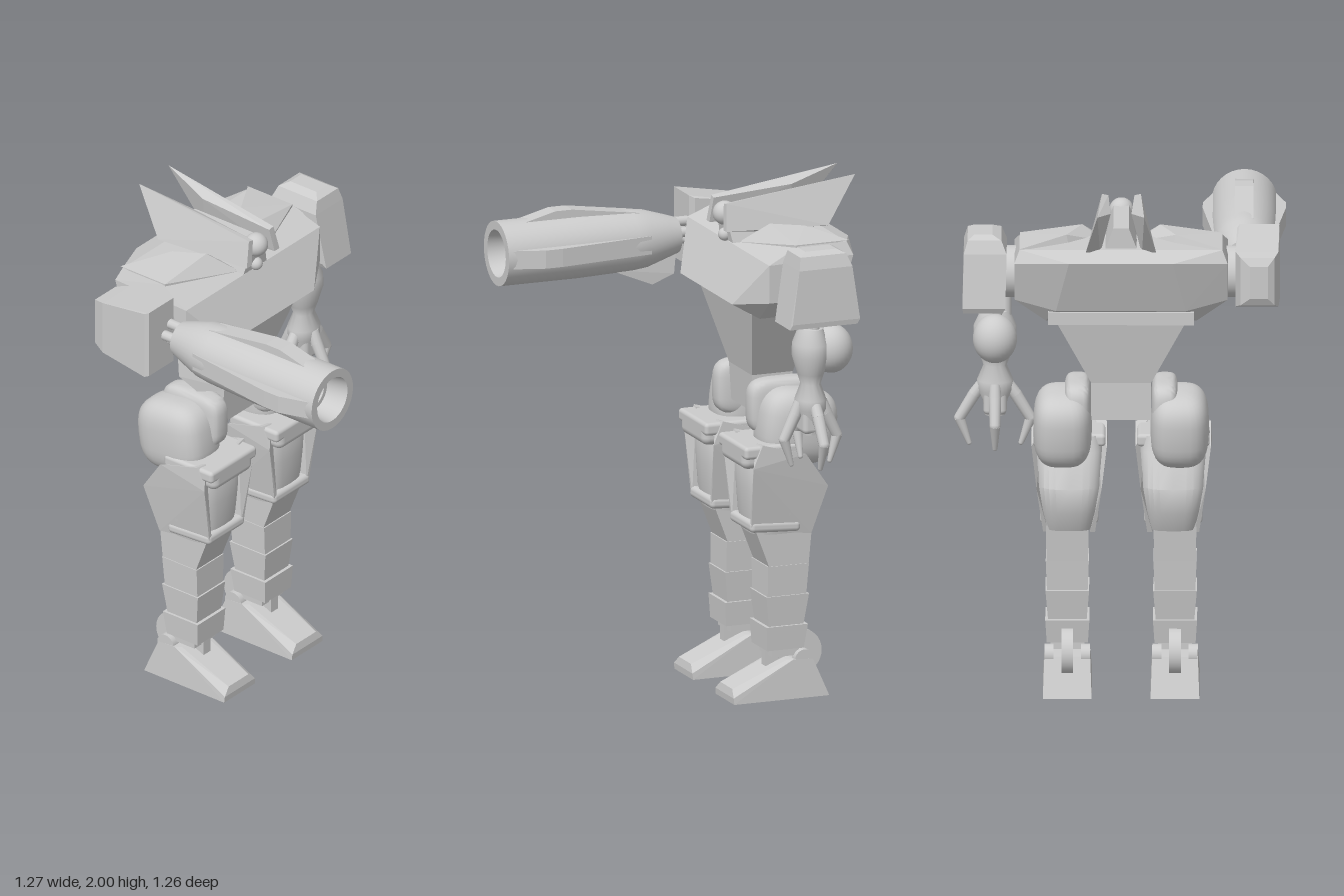
import * as THREE from 'three';
import { toCreasedNormals } from 'three/addons/utils/BufferGeometryUtils.js';
import { RoundedBoxGeometry } from 'three/addons/geometries/RoundedBoxGeometry.js';
import { ConvexGeometry } from 'three/addons/geometries/ConvexGeometry.js';

const grey = new THREE.MeshStandardMaterial({ color: 0xcccccc, side: THREE.DoubleSide });
const V = (x, y, z) => new THREE.Vector3(x, y, z);

function add(parent, name, geo, x = 0, y = 0, z = 0) {
  const m = new THREE.Mesh(geo, grey);
  m.name = name;
  m.position.set(x, y, z);
  parent.add(m);
  return m;
}
function group(parent, name, x = 0, y = 0, z = 0) {
  const g = new THREE.Group();
  g.name = name;
  g.position.set(x, y, z);
  parent.add(g);
  return g;
}
// Faceted solid around points; s flips x
const hull = (pts, s = 1) => new ConvexGeometry(pts.map(p => V(p[0] * s, p[1], p[2])));
// Faceted solid symmetric about x = 0
const symHull = pts => new ConvexGeometry(pts.flatMap(p => [V(p[0], p[1], p[2]), V(-p[0], p[1], p[2])]));
// Faceted solid from level slices [y, x0, x1, z0, z1]
const slices = (rows, s = 1) => hull(rows.flatMap(([y, a, b, c, d]) =>
  [[a, y, c], [b, y, c], [a, y, d], [b, y, d]]), s);
const square = (v, e) => Math.sign(v) * Math.pow(Math.abs(v), e);

// Rounded block: sphere pushed toward a box
function blob(w, h, d, e = 0.65) {
  const g = new THREE.SphereGeometry(1, 28, 20), p = g.attributes.position;
  for (let i = 0; i < p.count; i++)
    p.setXYZ(i, square(p.getX(i), e) * w / 2, square(p.getY(i), e) * h / 2, square(p.getZ(i), e) * d / 2);
  return toCreasedNormals(g, 0.9);
}
// Squared tube through rings [y, halfWidth, zBack, zFront], top to bottom
function loft(rings, e = 0.6) {
  const g = new THREE.CylinderGeometry(1, 1, 1, 28, rings.length - 1), p = g.attributes.position;
  for (let i = 0; i < p.count; i++) {
    const [y, hx, zb, zf] = rings[Math.round((0.5 - p.getY(i)) * (rings.length - 1))];
    p.setXYZ(i, square(p.getX(i), e) * hx, y, (zb + zf) / 2 + square(p.getZ(i), e) * (zf - zb) / 2);
  }
  return toCreasedNormals(g, 0.7);
}
const lathe = (pts, n = 32, crease = 0.5) =>
  toCreasedNormals(new THREE.LatheGeometry(pts.map(p => new THREE.Vector2(p[0], p[1])), n), crease);

// Tapered round bar from a to b
function rod(parent, name, a, b, r0, r1) {
  const d = b.clone().sub(a);
  const m = add(parent, name, new THREE.CylinderGeometry(r1, r0, d.length(), 12));
  m.position.copy(a).addScaledVector(d, 0.5);
  m.quaternion.setFromUnitVectors(V(0, 1, 0), d.normalize());
}

function buildTorso(root) {
  const t = group(root, 'torso');
  add(t, 'chest', symHull([
    [0.39, 1.82, -0.27], [0.39, 1.82, -0.47], [0.2, 1.79, -0.555], [0.41, 1.77, -0.49],
    [0.41, 1.76, -0.14], [0.26, 1.58, -0.048], [0.41, 1.61, -0.14], [0.41, 1.61, -0.44],
    [0.25, 1.575, -0.475], [0.29, 1.52, -0.15], [0.29, 1.52, -0.42]]));
  add(t, 'backStrip', new THREE.BoxGeometry(0.56, 0.05, 0.1), 0, 1.545, -0.43);
  add(t, 'abdomen', slices([[1.53, -0.26, 0.26, -0.41, -0.13], [1.46, -0.18, 0.18, -0.39, -0.15],
    [1.25, -0.115, 0.115, -0.36, -0.19]]));
  add(t, 'pelvis', slices([[1.25, -0.115, 0.115, -0.36, -0.19], [1.1, -0.115, 0.115, -0.36, -0.2]]));
  for (const s of [1, -1])
    add(t, 'collar', hull([[0.39, 1.825, -0.26], [0.39, 1.825, -0.48], [0.15, 1.855, -0.25],
      [0.21, 1.85, -0.37], [0.06, 1.77, -0.16], [0.39, 1.8, -0.26], [0.2, 1.8, -0.38], [0.06, 1.79, -0.26]], s));
}

function buildHead(root) {
  const h = group(root, 'head');
  add(h, 'skull', symHull([[0.03, 1.9, -0.11], [0.07, 1.77, -0.13], [0.03, 1.9, -0.45],
    [0.075, 1.78, -0.45]]));
  add(h, 'eye', new THREE.SphereGeometry(0.047, 24, 16), 0, 1.875, -0.125);
  add(h, 'mouth', new THREE.SphereGeometry(0.026, 20, 12), 0, 1.79, -0.125);
  for (const s of [1, -1])
    add(h, 'headFin', hull([[0.05, 1.925, -0.1], [0.075, 1.93, -0.1], [0.1, 1.825, -0.09], [0.07, 1.825, -0.09],
      [0.135, 1.82, -0.5], [0.04, 1.95, -0.42], [0.09, 2.0, -0.63], [0.08, 1.795, -0.44]], s));
}

// Shoulder with arm pistons; hangs along -y
function buildShoulder(root, s, tilt) {
  const a = group(root, s > 0 ? 'leftShoulder' : 'rightShoulder', s * 0.465, 1.68, -0.295);
  a.rotation.x = tilt;
  add(a, 'shoulderPad', slices([[0.165, 0.03, 0.1, -0.06, 0.07], [0.15, -0.005, 0.125, -0.09, 0.1],
    [0.1, -0.025, 0.14, -0.11, 0.11], [-0.11, -0.02, 0.145, -0.14, 0.14], [-0.13, -0.01, 0.142, -0.13, 0.15]], s));
  add(a, 'shoulderJoint', new THREE.CylinderGeometry(0.1, 0.1, 0.09, 28).rotateZ(Math.PI / 2), -s * 0.04, 0, 0);
  for (const [x, z] of [[-0.035, 0], [0.035, 0], [0, 0.035], [0, -0.035]])
    rod(a, 'armPiston', V(s * 0.012 + x, -0.1, z + 0.01), V(s * 0.012 + x, -0.24, z + 0.01), 0.02, 0.02);
}

function buildCannon(root) {
  const c = group(root, 'cannon', -0.47, 1.675, 0);
  add(c, 'barrel', lathe([[0, -0.12], [0.07, -0.115], [0.085, -0.07], [0.113, 0.02], [0.12, 0.08], [0.127, 0.3],
    [0.127, 0.63], [0.093, 0.63], [0.08, 0.54], [0.062, 0.54], [0.062, 0.42], [0, 0.42]]).rotateX(Math.PI / 2));
  // Ribs on the two sides and the top
  const rib = (peak, zp, z0, z1) => hull([-0.036, 0.036].flatMap(x =>
    [[x, 0.09, z0], [x, 0.112, z0], [x, peak, zp - 0.04], [x, peak, zp + 0.03], [x, 0.122, z1], [x, 0.09, z1]]));
  for (const s of [1, -1]) add(c, 'sideRib', rib(0.16, 0.46, 0.03, 0.61)).rotation.z = s * Math.PI / 2;
  add(c, 'topRib', rib(0.153, 0.37, 0.05, 0.52));
  add(c, 'lowerKeel', symHull([[0.05, -0.1, 0.18], [0.046, -0.175, 0], [0.046, -0.14, -0.09], [0.04, -0.06, -0.1]]));
}

function buildForearm(root) {
  const f = group(root, 'leftForearm', 0.485, 0, -0.28);
  add(f, 'forearm', lathe([[0, 1.1], [0.04, 1.1], [0.048, 1.16], [0.068, 1.2], [0.07, 1.24], [0.045, 1.3],
    [0.06, 1.34], [0.083, 1.41], [0.082, 1.46], [0.055, 1.52], [0, 1.525]], 28, 1)).scale.z = 0.85;
  const e = add(f, 'elbowGuard', new THREE.SphereGeometry(0.1, 28, 18), 0, 1.43, -0.085);
  e.scale.set(0.85, 0.96, 0.85);
  add(f, 'palm', new RoundedBoxGeometry(0.09, 0.13, 0.09, 3, 0.02), 0, 1.17, 0);
  // Four hooked fingers
  for (let i = 0; i < 4; i++) {
    const k = group(f, 'finger');
    k.rotation.y = i * Math.PI / 2;
    const w = i % 2 ? 0.8 : 1;
    const path = [V(0.045, 1.23, 0), V(0.08 * w, 1.18, 0), V(0.137 * w, 1.085, 0), V(0.1 * w, 0.985, 0)];
    const r = [0.022, 0.024, 0.021, 0.01];
    for (let j = 0; j < 3; j++) {
      rod(k, 'fingerBone', path[j], path[j + 1], r[j], r[j + 1]);
      add(k, 'knuckle', new THREE.SphereGeometry(r[j + 1], 12, 8), path[j + 1].x, path[j + 1].y, 0);
    }
  }
}

function buildLeg(root, s) {
  const l = group(root, s > 0 ? 'leftLeg' : 'rightLeg');
  // Hip and thigh
  add(l, 'hip', blob(0.225, 0.3, 0.31), s * 0.225, 1.07, -0.325).rotation.x = -0.12;
  add(l, 'hipLug', blob(0.105, 0.22, 0.28, 0.5), s * 0.168, 1.14, -0.29);
  const thigh = group(l, 'thigh', s * 0.2, 0, 0);
  add(thigh, 'thighShell', loft([[1.02, 0.12, -0.33, -0.14], [0.96, 0.13, -0.35, -0.11], [0.84, 0.128, -0.43, -0.11],
    [0.74, 0.115, -0.42, -0.115], [0.66, 0.1, -0.385, -0.13]]));
  for (const k of [1, -1])
    add(thigh, 'thighPanel', hull([[0.1, 1.03, -0.13], [0.145, 1.03, -0.14], [0.148, 0.94, -0.1], [0.105, 0.69, -0.11],
      [0.09, 0.69, -0.11], [0.145, 0.98, -0.32], [0.125, 0.84, -0.42], [0.1, 0.65, -0.36], [0.08, 0.65, -0.36]], k));
  add(thigh, 'kneeGuard', new RoundedBoxGeometry(0.28, 0.05, 0.24, 3, 0.015), 0, 1.0, -0.19);
  add(thigh, 'kneeBar', new RoundedBoxGeometry(0.24, 0.09, 0.13, 4, 0.03), 0, 0.975, -0.135);
  add(thigh, 'thighRim', new RoundedBoxGeometry(0.225, 0.045, 0.21, 3, 0.018), 0, 0.692, -0.21).rotation.x = -0.06;
  // Stepped shin segments
  const shin = group(l, 'shin', s * 0.207, 0, 0);
  const rows = [[0.7, 0.083, -0.37, -0.125, 0.53, 0.08, -0.355, -0.19], [0.53, 0.083, -0.355, -0.185, 0.4, 0.078, -0.345, -0.185],
    [0.41, 0.084, -0.355, -0.178, 0.285, 0.074, -0.335, -0.192], [0.29, 0.085, -0.35, -0.178, 0.195, 0.079, -0.335, -0.183]];
  for (const [y, w, a, b, y2, w2, a2, b2] of rows)
    add(shin, 'shinSegment', slices([[y, -w, w, a, b], [y2, -w2, w2, a2, b2]]));
  // Foot with ankle
  const foot = group(l, 'foot', s * 0.207, 0, 0);
  add(foot, 'ankle', new THREE.BoxGeometry(0.13, 0.04, 0.11), 0, 0.185, -0.265);
  add(foot, 'anklePost', new THREE.BoxGeometry(0.042, 0.1, 0.12), 0, 0.155, -0.26);
  add(foot, 'sole', symHull([[0.094, 0, -0.04], [0.092, 0.025, -0.038], [0.06, 0.055, -0.045], [0.094, 0, -0.435],
    [0.088, 0.15, -0.37], [0.088, 0.155, -0.29], [0.065, 0.15, -0.27]]));
  for (const k of [1, -1])
    add(foot, 'ankleLug', new THREE.CylinderGeometry(0.04, 0.04, 0.035, 20).rotateZ(Math.PI / 2), k * 0.07, 0.15, -0.335);
  add(foot, 'heelDisc', new THREE.CylinderGeometry(0.09, 0.09, 0.045, 32).rotateZ(Math.PI / 2), 0, 0.165, -0.343);
}

export function createModel() {
  const root = new THREE.Group();
  root.name = 'robot';
  buildTorso(root);
  buildHead(root);
  buildShoulder(root, 1, 0);
  buildShoulder(root, -1, -Math.PI / 2);
  buildCannon(root);
  buildForearm(root);
  for (const s of [1, -1]) buildLeg(root, s);
  return root;
}
